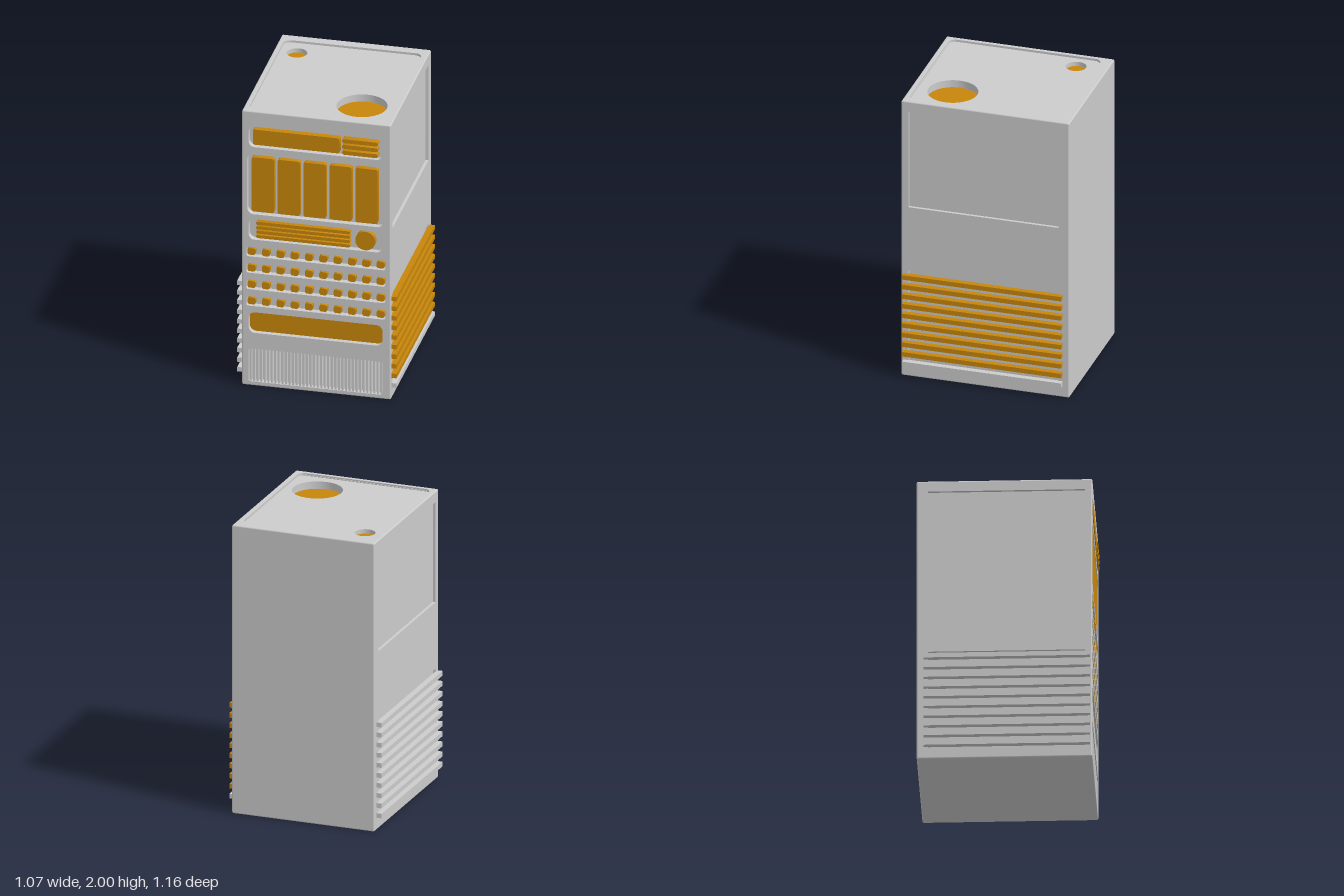
import * as THREE from 'three';
import { toCreasedNormals } from 'three/addons/utils/BufferGeometryUtils.js';

const GREY = new THREE.MeshStandardMaterial({ color: 0xcccccc });
const ORANGE = new THREE.MeshStandardMaterial({ color: 0xc8860a });

// Overall cabinet extents and edge radius
const X = 0.5, H = 2, ZB = -0.58, ZF = 0.57, R = 0.01;
const FRONT_DEPTH = 0.04, SIDE_DEPTH = 0.02, TOP_DEPTH = 0.015;

// Rounded rectangle from corner to corner
function rect(x0, y0, x1, y1, r = 0, target = new THREE.Shape()) {
  if (r === 0) {
    target.moveTo(x0, y0).lineTo(x1, y0).lineTo(x1, y1).lineTo(x0, y1).closePath();
    return target;
  }
  target.moveTo(x0 + r, y0);
  target.lineTo(x1 - r, y0);
  target.absarc(x1 - r, y0 + r, r, -Math.PI / 2, 0, false);
  target.lineTo(x1, y1 - r);
  target.absarc(x1 - r, y1 - r, r, 0, Math.PI / 2, false);
  target.lineTo(x0 + r, y1);
  target.absarc(x0 + r, y1 - r, r, Math.PI / 2, Math.PI, false);
  target.lineTo(x0, y0 + r);
  target.absarc(x0 + r, y0 + r, r, Math.PI, Math.PI * 1.5, false);
  return target;
}

const circle = (x, y, r) => new THREE.Path().absarc(x, y, r, 0, Math.PI * 2, false);

function slab(shape, depth, curveSegments = 8) {
  const g = new THREE.ExtrudeGeometry(shape, { depth, bevelEnabled: false, curveSegments });
  return toCreasedNormals(g, 0.6);
}

export function createModel() {
  const model = new THREE.Group();
  model.name = 'cabinet';

  const add = (name, geometry, material, x = 0, y = 0, z = 0, parent = model) => {
    const mesh = new THREE.Mesh(geometry, material);
    mesh.name = name;
    mesh.position.set(x, y, z);
    parent.add(mesh);
    return mesh;
  };
  const box = (name, x0, y0, z0, x1, y1, z1, material = GREY, parent = model) =>
    add(name, new THREE.BoxGeometry(x1 - x0, y1 - y0, z1 - z0), material,
      (x0 + x1) / 2, (y0 + y1) / 2, (z0 + z1) / 2, parent);

  // Core whose faces form the floors of the recesses
  const floorZ = ZF - FRONT_DEPTH;
  box('core', -X + SIDE_DEPTH, 0, ZB + R, X - SIDE_DEPTH, 1.93, floorZ);
  box('backPanel', -X + R, R, ZB, X - R, H - R, ZB + 0.03);

  // Rounded cabinet edges
  const edges = new THREE.Group();
  edges.name = 'edges';
  model.add(edges);
  const zMid = (ZB + ZF) / 2, zLen = ZF - ZB - 2 * R;
  const edge = (len, x, y, z) =>
    add('edge', new THREE.CylinderGeometry(R, R, len, 16), GREY, x, y, z, edges);
  for (const z of [ZB + R, ZF - R]) {
    for (const x of [-X + R, X - R]) {
      edge(H - 2 * R, x, H / 2, z);
      for (const y of [R, H - R]) add('corner', new THREE.SphereGeometry(R, 12, 8), GREY, x, y, z, edges);
    }
    for (const y of [R, H - R]) edge(2 * (X - R), 0, y, z).rotation.z = Math.PI / 2;
  }
  for (const x of [-X + R, X - R]) {
    for (const y of [R, H - R]) edge(zLen, x, y, zMid).rotation.x = Math.PI / 2;
  }
  box('underside', -X + R, 0, ZB + R, X - R, 0.02, ZF - R);

  // Front panel with all its recesses
  const rows = [0.975, 0.855, 0.735, 0.615];
  const front = rect(-X + R, R, X - R, H - R);
  const recesses = [
    [-0.455, 1.74, 0.445, 1.89, 0.04],
    [-0.465, 1.25, 0.455, 1.695, 0.045],
    [-0.455, 1.065, 0.445, 1.215, 0.04],
    [-0.455, 0.385, 0.445, 0.535, 0.045],
    [-0.455, 0.03, 0.447, 0.27, 0.012],
    ...rows.map((y) => [-0.47, y - 0.035, 0.465, y + 0.035, 0.015]),
  ];
  for (const r of recesses) front.holes.push(rect(...r, new THREE.Path()));
  add('frontPanel', slab(front, FRONT_DEPTH), GREY, 0, 0, floorZ);

  // Raised piece standing on a front recess floor
  const raised = (name, x0, y0, x1, y1, r, top, material = ORANGE) =>
    add(name, slab(rect(x0, y0, x1, y1, r), top - floorZ), material, 0, 0, floorZ);

  // Top strip: display and three slats
  raised('display', -0.425, 1.76, 0.155, 1.87, 0.01, 0.574);
  for (const y of [1.857, 1.815, 1.772]) raised('displaySlat', 0.175, y - 0.014, 0.415, y + 0.014, 0.013, 0.58);

  // Five upright modules
  for (let i = 0; i < 5; i++) {
    const x = -0.435 + i * 0.174;
    raised('module', x, 1.27, x + 0.15, 1.665, 0.015, 0.568);
  }

  // Speaker strip: four bars and a round dial
  for (let i = 0; i < 4; i++) {
    const y = 1.185 - i * 0.032;
    raised('speakerBar', -0.405, y - 0.011, 0.225, y + 0.011, 0.01, 0.567);
  }
  add('dial', slab(new THREE.Shape().absarc(0.327, 1.137, 0.067, 0, Math.PI * 2, false), 0.035, 32),
    ORANGE, 0, 0, floorZ);

  // Four rows of buttons
  for (const y of rows) {
    for (let i = 0; i < 10; i++) {
      const x = -0.436 + i * 0.0962;
      raised('button', x - 0.026, y - 0.024, x + 0.026, y + 0.024, 0.014, 0.568);
    }
  }

  // Sunken coloured panel and the finned grille
  raised('sunkenPanel', -0.455, 0.385, 0.445, 0.535, 0.045, floorZ + 0.006);
  const fins = 38, pitch = 0.902 / fins;
  for (let i = 0; i < fins; i++) {
    const x = -0.455 + (i + 0.5) * pitch;
    box('grilleFin', x - pitch / 4, 0.03, floorZ - 0.005, x + pitch / 4, 0.27, ZF - 0.006);
  }

  // Side panels with two recesses, and bars across the lower one
  for (const s of [1, -1]) {
    const u = (z0, z1) => (s > 0 ? [-z1, -z0] : [z0, z1]);
    const [a, b] = u(ZB + R, ZF - R);
    const [c, d] = u(-0.505, 0.52);
    const side = rect(a, R, b, H - R);
    side.holes.push(rect(c, 1.23, d, 1.925, 0, new THREE.Path()));
    side.holes.push(rect(c, 0.08, d, 0.77, 0, new THREE.Path()));
    const name = s > 0 ? 'left' : 'right';
    add(name + 'Panel', slab(side, SIDE_DEPTH), GREY, s * (X - SIDE_DEPTH)).rotation.y = s * Math.PI / 2;
    for (let i = 0; i < 10; i++) {
      const y = 0.1 + i * 0.07;
      const x0 = Math.min(s * 0.495, s * 0.535), x1 = Math.max(s * 0.495, s * 0.535);
      box(name + 'Bar', x0, y - 0.016, -0.535, x1, y + 0.016, 0.555, s > 0 && i > 0 ? ORANGE : GREY);
    }
  }

  // Top: raised rim, then a deck with two round wells
  const rim = rect(-X + R, -ZF + R, X - R, -ZB - R);
  rim.holes.push(rect(-0.465, -0.535, 0.46, 0.505, 0.05, new THREE.Path()));
  add('topRim', slab(rim, TOP_DEPTH), GREY, 0, H - TOP_DEPTH).rotation.x = -Math.PI / 2;

  const wells = [
    { name: 'smallWell', x: -0.35, z: -0.362, r: 0.068, floor: 1.955 },
    { name: 'largeWell', x: 0.243, z: 0.297, r: 0.167, floor: 1.934 },
  ];
  const deck = rect(-X + 0.015, -ZF + 0.015, X - 0.015, -ZB - 0.015);
  for (const w of wells) {
    deck.holes.push(circle(w.x, -w.z, w.r));
    add(w.name, new THREE.CylinderGeometry(w.r, w.r, w.floor - 1.92, 48), ORANGE,
      w.x, (w.floor + 1.92) / 2, w.z);
  }
  add('topDeck', slab(deck, H - TOP_DEPTH - 1.927, 24), GREY, 0, 1.927).rotation.x = -Math.PI / 2;

  return model;
}
